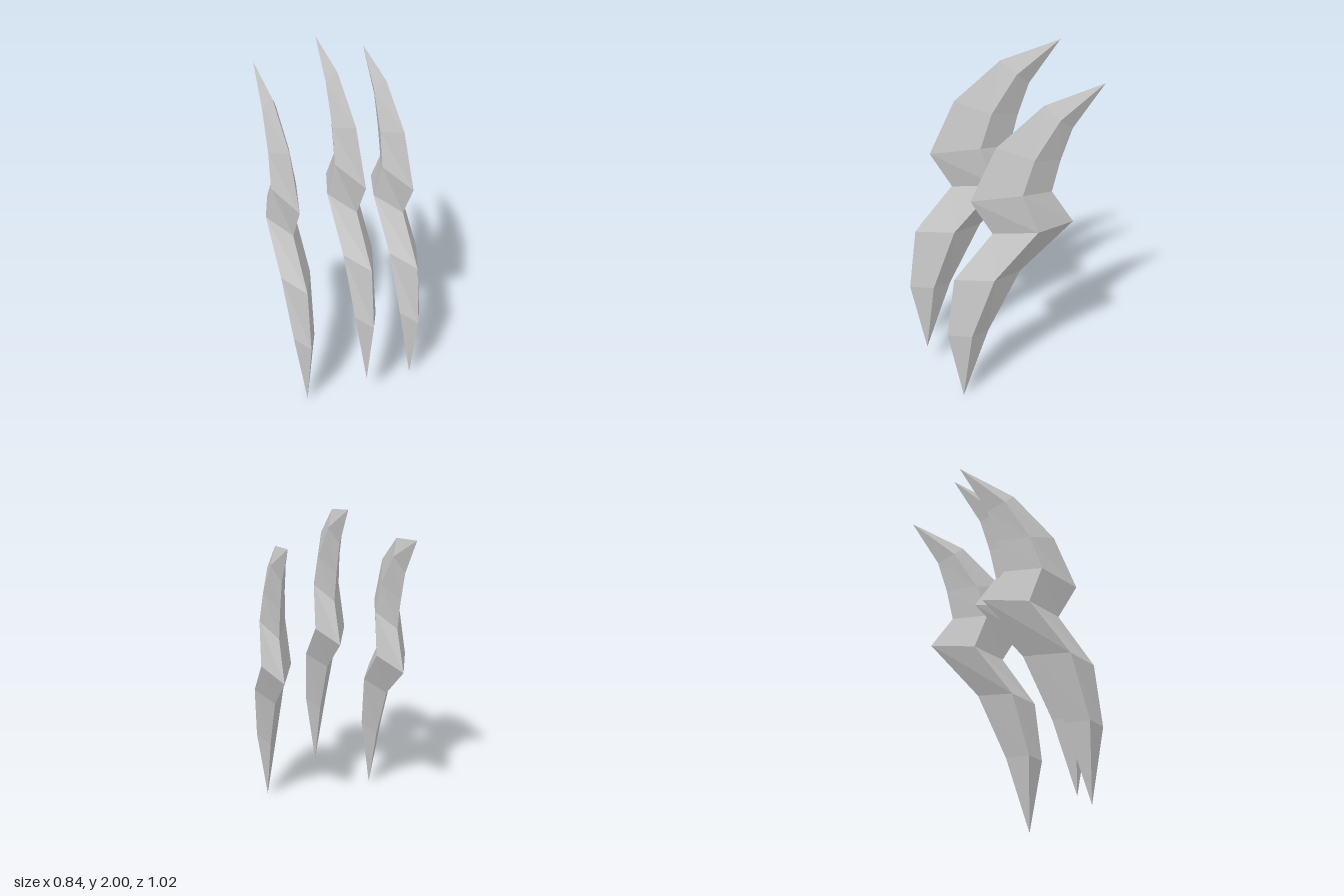
import * as THREE from 'three';

// Cross-sections from top to bottom:
// front ridge z, y | side edge z, y, half width | back ridge z, y
const SECTIONS = [
  [-0.51, 1.85, -0.51, 1.85, 0, -0.51, 1.85],
  [-0.16, 1.77, -0.24, 1.69, 0.04, -0.33, 1.62],
  [0.105, 1.57, -0.09, 1.49, 0.06, -0.265, 1.44],
  [0.25, 1.28, -0.02, 1.30, 0.073, -0.22, 1.26],
  [0.125, 1.06, -0.11, 1.065, 0.085, -0.355, 1.05],
  [0.35, 0.81, 0.145, 0.81, 0.087, -0.04, 0.79],
  [0.395, 0.45, 0.27, 0.45, 0.063, 0.15, 0.43],
  [0.305, 0, 0.305, 0, 0, 0.305, 0],
];

// Diamond-section blade lofted through the sections, pointed at both ends
function bladeGeometry() {
  const rings = SECTIONS.map(([fz, fy, sz, sy, w, bz, by]) => [
    [0, fy, fz], [w, sy, sz], [0, by, bz], [-w, sy, sz],
  ]);
  const last = rings.length - 2;
  const positions = [];
  for (let i = 0; i <= last; i++) {
    for (let j = 0; j < 4; j++) {
      const k = (j + 1) % 4;
      const a = rings[i][j], b = rings[i][k];
      const c = rings[i + 1][j], d = rings[i + 1][k];
      if (i < last) positions.push(...a, ...c, ...d);
      if (i > 0) positions.push(...a, ...d, ...b);
    }
  }
  // The bottom point joins each ring side with the triangle a, d, b above
  const geometry = new THREE.BufferGeometry();
  geometry.setAttribute('position', new THREE.Float32BufferAttribute(positions, 3));
  geometry.computeVertexNormals();
  return geometry;
}

export function createModel() {
  const group = new THREE.Group();
  group.name = 'clawMarks';
  const material = new THREE.MeshStandardMaterial({ color: 0xcccccc, flatShading: true });
  const geometry = bladeGeometry();

  // Three matching blades, the middle one higher and further forward
  const blades = [
    ['rightBlade', -0.335, 0, 0],
    ['middleBlade', -0.003, 0.15, 0.12],
    ['leftBlade', 0.335, 0, 0],
  ];
  for (const [name, x, y, z] of blades) {
    const blade = new THREE.Mesh(geometry, material);
    blade.name = name;
    blade.position.set(x, y, z);
    group.add(blade);
  }
  return group;
}
